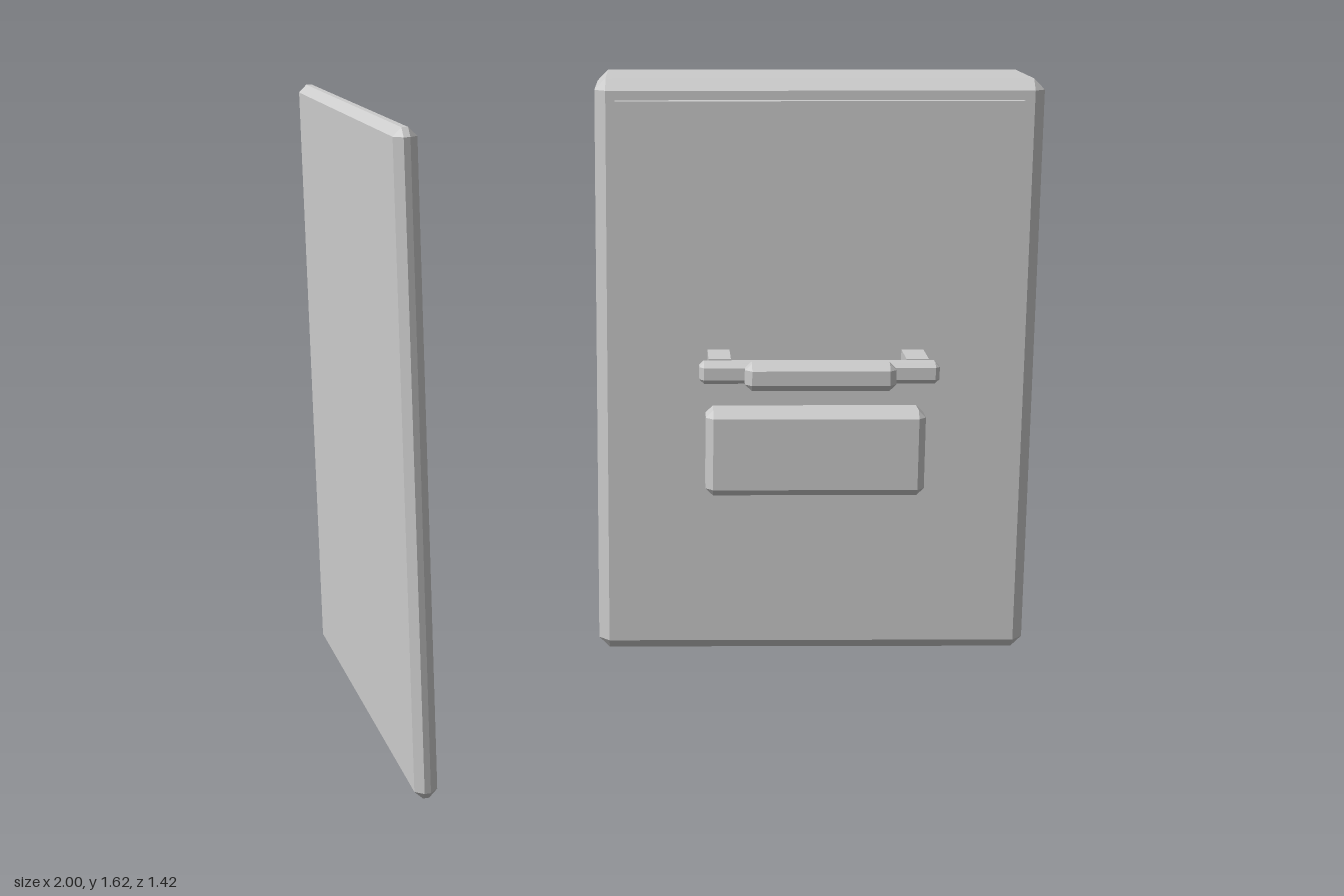
import * as THREE from 'three';
import { ConvexGeometry } from 'three/addons/geometries/ConvexGeometry.js';

const material = new THREE.MeshStandardMaterial({ color: 0xcccccc, flatShading: true });

// Box with all edges bevelled by c: three corner points per box corner
function bevelBox(w, h, d, c) {
  const points = [];
  for (const sx of [-1, 1]) for (const sy of [-1, 1]) for (const sz of [-1, 1]) {
    const x = w / 2, y = h / 2, z = d / 2;
    points.push(
      new THREE.Vector3(sx * x, sy * (y - c), sz * (z - c)),
      new THREE.Vector3(sx * (x - c), sy * y, sz * (z - c)),
      new THREE.Vector3(sx * (x - c), sy * (y - c), sz * z)
    );
  }
  return new ConvexGeometry(points);
}

// Block given by its limits on each axis; bevel 0 gives a plain box
function block(name, [x0, x1], [y0, y1], [z0, z1], bevel = 0) {
  const size = [x1 - x0, y1 - y0, z1 - z0];
  const geometry = bevel ? bevelBox(...size, bevel) : new THREE.BoxGeometry(...size);
  const mesh = new THREE.Mesh(geometry, material);
  mesh.name = name;
  mesh.position.set((x0 + x1) / 2, (y0 + y1) / 2, (z0 + z1) / 2);
  return mesh;
}

export function createModel() {
  const model = new THREE.Group();
  model.name = 'cabinet';

  // Case with a raised front panel and label plate
  model.add(
    block('case', [-0.21, 1.0], [0, 1.615], [-0.71, -0.35], 0.03),
    block('frontPanel', [-0.155, 0.94], [0.065, 1.56], [-0.37, -0.32]),
    block('plate', [0.09, 0.69], [0.49, 0.73], [-0.33, -0.23], 0.02)
  );

  // Handle: two posts, a cross bar and a thicker grip
  const handle = new THREE.Group();
  handle.name = 'handle';
  for (const side of [-1, 1]) {
    const x = 0.39 + side * 0.265;
    handle.add(block('handlePost', [x - 0.03, x + 0.03], [0.828, 0.887], [-0.31, -0.19]));
  }
  handle.add(
    block('handleBar', [0.07, 0.71], [0.828, 0.885], [-0.198, -0.142], 0.012),
    block('handleGrip', [0.19, 0.59], [0.818, 0.893], [-0.155, -0.092], 0.018)
  );
  model.add(handle);

  // Detached door standing at an angle
  const door = new THREE.Mesh(bevelBox(0.055, 1.575, 1.17, 0.02), material);
  door.name = 'door';
  door.position.set(-0.78, 0.812, 0.153);
  door.rotation.y = THREE.MathUtils.degToRad(20);
  model.add(door);

  return model;
}
